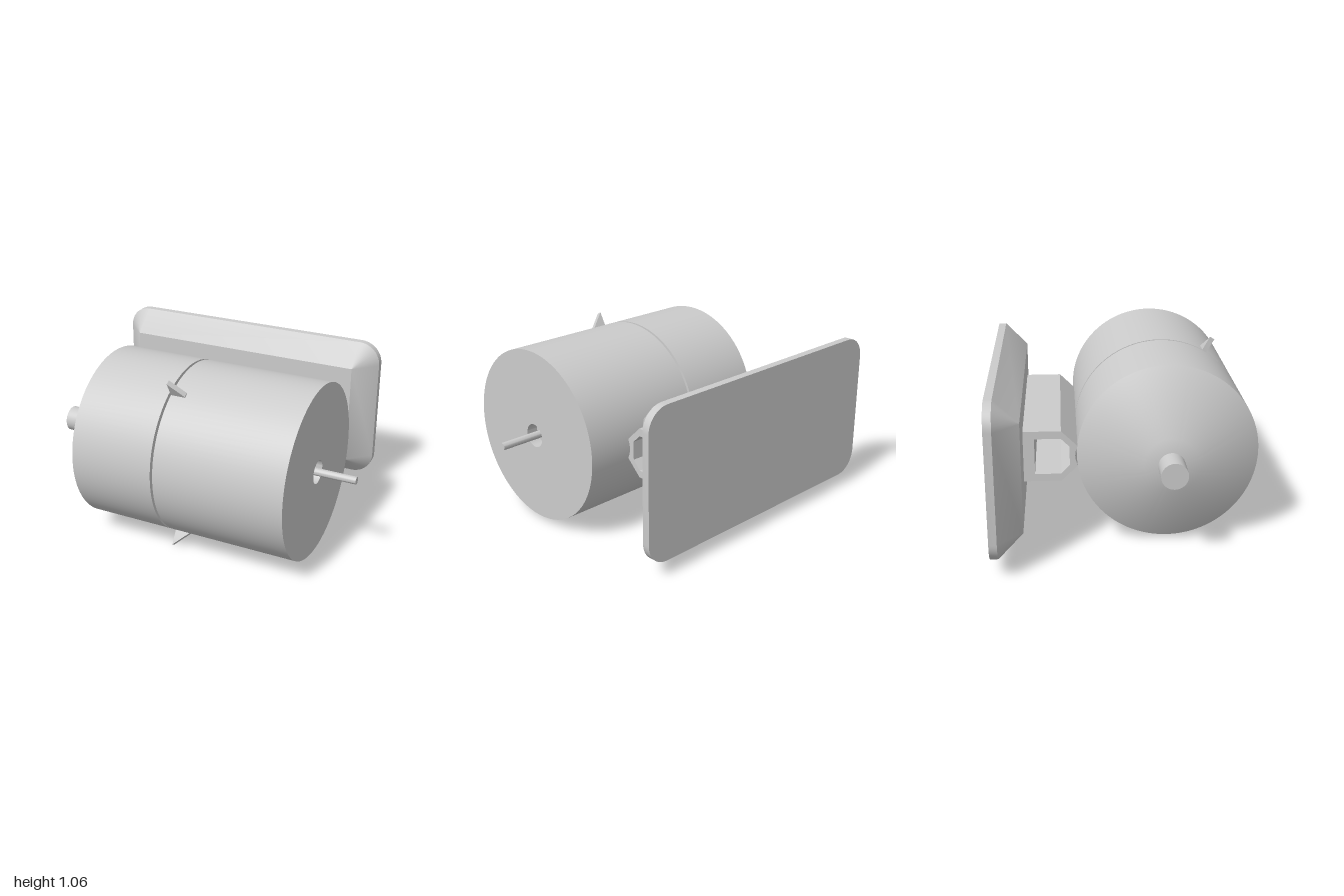
import * as THREE from 'three';
import { toCreasedNormals } from 'three/addons/utils/BufferGeometryUtils.js';

const material = new THREE.MeshStandardMaterial({ color: 0xcccccc });
const AXIS_Y = 0.54, AXIS_Z = 0.24;

function addMesh(parent, name, geometry) {
  const mesh = new THREE.Mesh(geometry, material);
  mesh.name = name;
  parent.add(mesh);
  return mesh;
}

// Turned part about the x axis; profile is [radius, x] going from -x to +x.
function turned(profile, segments) {
  const points = profile.map(([r, x]) => new THREE.Vector2(r, x));
  const geometry = new THREE.LatheGeometry(points, segments);
  geometry.rotateZ(-Math.PI / 2);
  return toCreasedNormals(geometry, 0.5);
}

// Rectangular outline whose corner arcs (radius) surround fixed inner corners.
function roundedRing(x0, x1, y0, y1, radius, z, steps) {
  const corners = [[x1, y1], [x0, y1], [x0, y0], [x1, y0]];
  const ring = [];
  corners.forEach(([x, y], c) => {
    for (let i = 0; i <= steps; i++) {
      const a = (c + i / steps) * Math.PI / 2;
      ring.push([x + radius * Math.cos(a), y + radius * Math.sin(a), z]);
    }
  });
  return ring;
}

// Skin between successive rings, closed with a fan at each end.
function loft(rings) {
  const n = rings[0].length, last = rings.length - 1, index = [];
  for (let r = 0; r < last; r++) {
    for (let i = 0; i < n; i++) {
      const j = (i + 1) % n, a = r * n, b = a + n;
      index.push(a + i, a + j, b + j, a + i, b + j, b + i);
    }
  }
  for (let i = 1; i < n - 1; i++) {
    index.push(0, i + 1, i, last * n, last * n + i, last * n + i + 1);
  }
  const geometry = new THREE.BufferGeometry();
  geometry.setAttribute('position', new THREE.Float32BufferAttribute(rings.flat(2), 3));
  geometry.setIndex(index);
  return toCreasedNormals(geometry, 0.5);
}

export function createModel() {
  const model = new THREE.Group();

  // Everything concentric with the drum axis
  const drum = new THREE.Group();
  drum.name = 'drum';
  drum.position.set(0, AXIS_Y, AXIS_Z);
  model.add(drum);

  // Housing with conical nose, seam groove and stepped shaft recess
  addMesh(drum, 'housing', turned([
    [0, -0.73], [0.155, -0.73], [0.515, -0.535],
    [0.515, -0.023], [0.485, -0.023], [0.485, -0.008], [0.515, -0.008],
    [0.515, 0.77], [0.07, 0.77], [0.07, 0.7], [0.045, 0.7], [0.045, 0.6], [0, 0.6],
  ], 96));
  addMesh(drum, 'inletStub', turned([[0, -0.88], [0.075, -0.88], [0.075, -0.72], [0, -0.72]], 40));
  addMesh(drum, 'shaft', turned([[0, 0.59], [0.022, 0.59], [0.022, 1], [0, 1]], 24));

  // Wedge fins beside the seam; the rear one is trimmed short by the bracket
  [[30, 0.606], [150, 0.606], [270, 0.526]].forEach(([degrees, tip], i) => {
    const shape = new THREE.Shape([
      new THREE.Vector2(-0.008, 0.49), new THREE.Vector2(0.08, 0.49),
      new THREE.Vector2(0.08, 0.52), new THREE.Vector2(-0.008, tip),
    ]);
    const fin = addMesh(drum, 'fin' + (i + 1),
      new THREE.ExtrudeGeometry(shape, { depth: 0.03, bevelEnabled: false }));
    fin.rotation.x = THREE.MathUtils.degToRad(degrees);
  });

  // Hollow bracket: profile in (-z, y), swept along x
  const toVectors = (list) => list.map(([d, y]) => new THREE.Vector2(d, y));
  const bracketShape = new THREE.Shape(toVectors([
    [0.58, 0.39], [0.58, 0.688], [0.362, 0.688], [0.27, 0.597],
    [0.281, 0.57], [0.285, 0.54], [0.281, 0.51], [0.27, 0.48], [0.362, 0.39],
  ]));
  bracketShape.holes.push(new THREE.Path(toVectors([
    [0.512, 0.433], [0.512, 0.643], [0.364, 0.643],
    [0.315, 0.594], [0.315, 0.484], [0.364, 0.433],
  ])));
  const bracketGeometry = new THREE.ExtrudeGeometry(bracketShape, { depth: 1.05, bevelEnabled: false });
  bracketGeometry.rotateY(Math.PI / 2);
  addMesh(model, 'bracket', bracketGeometry).position.x = -0.55;

  // Mounting plate: rounded rim tapering to a square-cornered front face
  const inner = [-0.865, 0.665, 0.225, 0.855];
  addMesh(model, 'mountingPlate', loft([
    roundedRing(...inner, 0.135, -0.755, 12),
    roundedRing(...inner, 0.135, -0.71, 12),
    roundedRing(...inner, 0, -0.575, 12),
  ]));

  return model;
}
